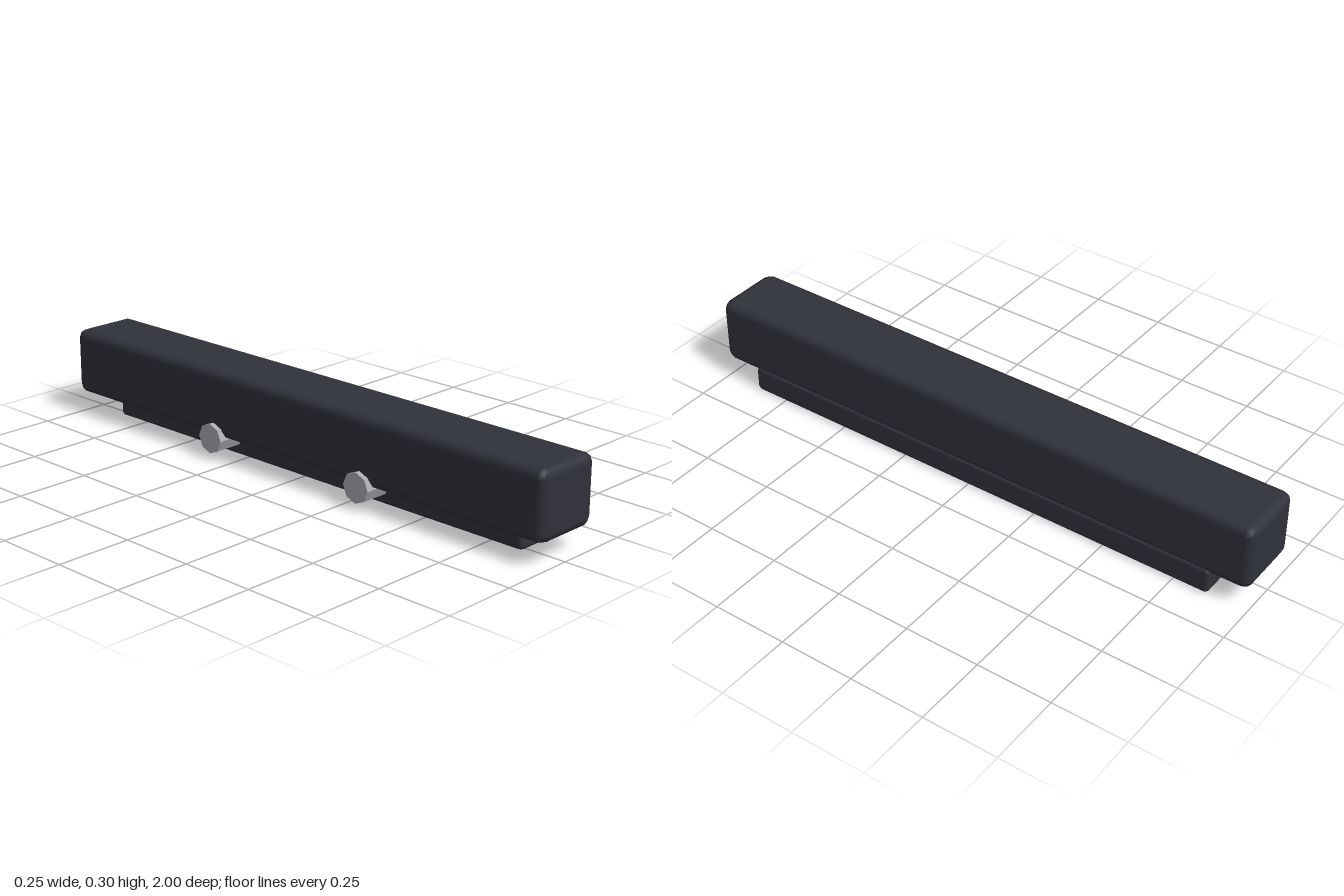
import * as THREE from 'three';
import { RoundedBoxGeometry } from 'three/addons/geometries/RoundedBoxGeometry.js';

export function createModel() {
  const group = new THREE.Group();
  const dark = new THREE.MeshStandardMaterial({ color: 0x30323a });
  const metal = new THREE.MeshStandardMaterial({ color: 0xa9abb2, flatShading: true });

  // Box with bevelled edges, given by its minimum and maximum corners
  function bevelledBar(name, min, max, radius) {
    const size = max.map((v, i) => v - min[i]);
    const mesh = new THREE.Mesh(new RoundedBoxGeometry(...size, 1, radius), dark);
    mesh.position.set(...max.map((v, i) => (v + min[i]) / 2));
    mesh.name = name;
    group.add(mesh);
  }

  // Long upper bar and the narrower strip under it
  bevelledBar('mainBar', [-0.11, 0.075, -1], [0.125, 0.3, 1], 0.03);
  bevelledBar('lowerStrip', [-0.031, 0.002, -0.87], [0.125, 0.092, 0.87], 0.015);

  // Two octagonal pegs sticking out of the right side
  const pegGeometry = new THREE.CylinderGeometry(0.05, 0.05, 0.13, 8).rotateZ(Math.PI / 2);
  for (const z of [-0.32, 0.315]) {
    const peg = new THREE.Mesh(pegGeometry, metal);
    peg.position.set(-0.062, 0.075, z);
    peg.name = z < 0 ? 'rearPeg' : 'frontPeg';
    group.add(peg);
  }
  return group;
}
